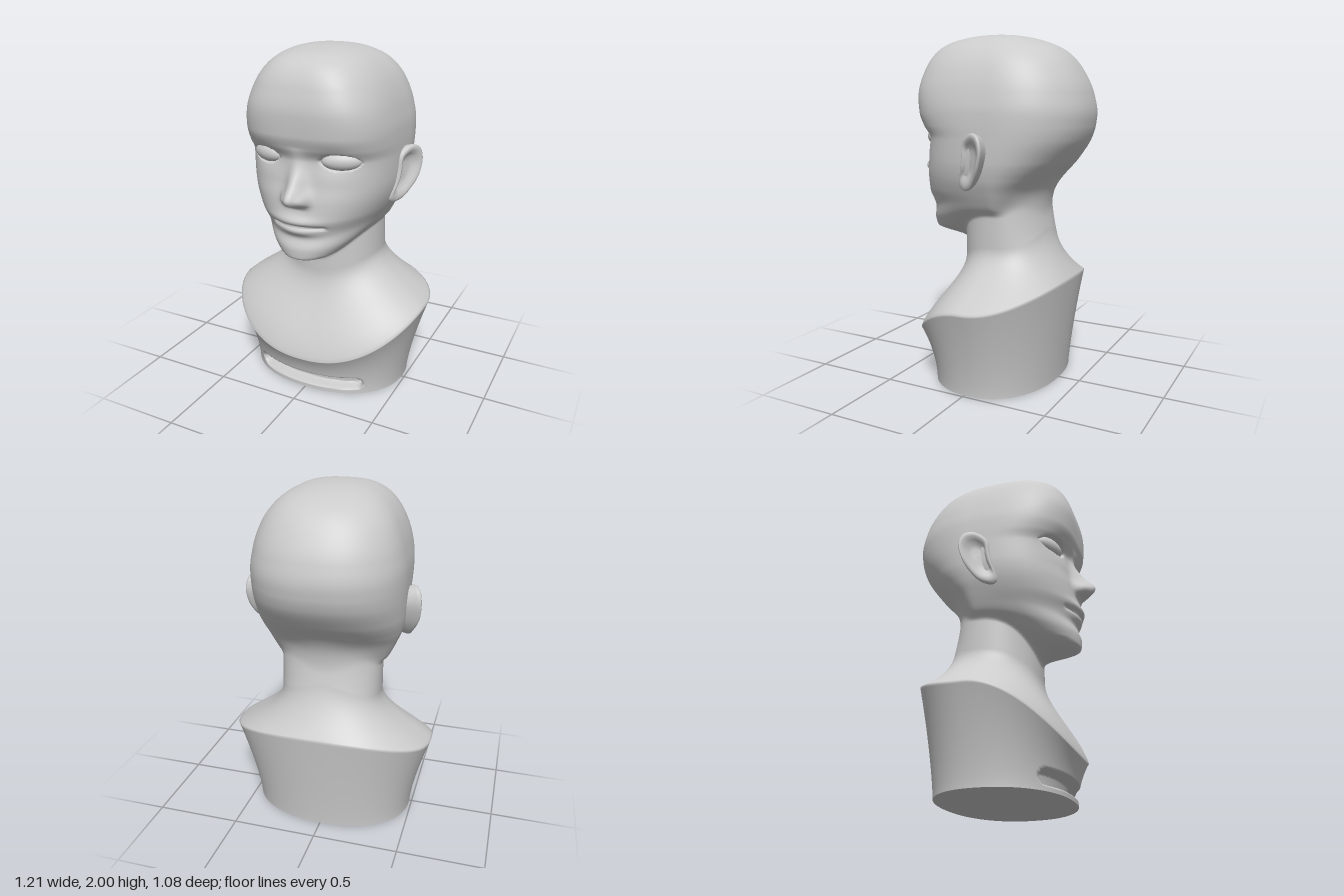
import * as THREE from 'three';

const COLS = 180;
const material = new THREE.MeshStandardMaterial({ color: 0xcccccc });
const thin = new THREE.MeshStandardMaterial({ color: 0xcccccc, side: THREE.DoubleSide });

const { lerp, smoothstep } = THREE.MathUtils;
const gauss = (d, s) => Math.exp(-(d * d) / (s * s));
const smoothMax = (a, b, k) => Math.max(a, b) + Math.max(k - Math.abs(a - b), 0) ** 2 / (4 * k);
// value chosen by direction: front / side / back
const byAngle = (t, front, side, back) =>
  lerp(side, Math.cos(t) > 0 ? front : back, Math.cos(t) ** 2);

// smooth monotone curve through the given keys
function curve(xs, ys) {
  const slope = xs.slice(1).map((x, i) => (ys[i + 1] - ys[i]) / (x - xs[i]));
  const tan = xs.map((_, i) => {
    if (i === 0) return slope[0];
    if (i === xs.length - 1) return slope[i - 1];
    const a = slope[i - 1], b = slope[i];
    return a * b <= 0 ? 0 : (2 * a * b) / (a + b);
  });
  return (x) => {
    if (x <= xs[0]) return ys[0];
    if (x >= xs[xs.length - 1]) return ys[ys.length - 1];
    let i = 0;
    while (x > xs[i + 1]) i++;
    const h = xs[i + 1] - xs[i], t = (x - xs[i]) / h, u = 1 - t;
    return ys[i] * (1 + 2 * t) * u * u + tan[i] * h * t * u * u
      + ys[i + 1] * t * t * (3 - 2 * t) - tan[i + 1] * h * t * t * u;
  };
}

// head sections: height, front z, back z, half width, centre z, front squareness
const sections = [
  [2.00, 0.03, 0.03, 0, 0.03, 2.3],
  [1.99, 0.16, -0.12, 0.13, 0.02, 2.5],
  [1.96, 0.295, -0.25, 0.22, -0.01, 2.7],
  [1.90, 0.38, -0.375, 0.302, -0.06, 3.0],
  [1.80, 0.43, -0.46, 0.37, -0.1, 3.25],
  [1.67, 0.455, -0.52, 0.414, -0.11, 3.4],
  [1.56, 0.449, -0.54, 0.432, -0.11, 3.2],
  [1.49, 0.428, -0.532, 0.434, -0.105, 3.0],
  [1.42, 0.40, -0.51, 0.433, -0.1, 2.75],
  [1.30, 0.41, -0.43, 0.427, -0.09, 2.65],
  [1.20, 0.43, -0.34, 0.41, -0.08, 2.5],
  [1.10, 0.438, -0.265, 0.385, -0.08, 2.35],
  [1.00, 0.415, -0.21, 0.355, -0.08, 2.2],
  [0.92, 0.438, -0.17, 0.32, -0.08, 2.1],
  [0.87, 0.435, -0.15, 0.265, -0.08, 2.1],
  [0.85, 0.39, -0.14, 0.225, -0.08, 2.1],
  [0.83, 0.30, -0.14, 0.175, -0.08, 2.1],
  [0.81, 0.21, -0.14, 0.13, -0.08, 2.1],
  [0.77, 0.08, -0.14, 0.08, -0.08, 2.1],
];
// the square-root key keeps the crown round
const keys = sections.map((s) => Math.sqrt(2 - s[0]));
const [front, back, width, centre, square] =
  [1, 2, 3, 4, 5].map((k) => curve(keys, sections.map((s) => s[k])));
const noseHeight = curve([1.165, 1.185, 1.2, 1.235, 1.31, 1.4, 1.5], [0, 0.035, 0.09, 0.118, 0.07, 0.025, 0]);
const neckBack = curve([0.75, 0.9, 1.02, 1.2], [0.26, 0.212, 0.19, 0.18]);

function superRadius(t, w, d, n) {
  const s = Math.abs(Math.sin(t)) / Math.max(w, 1e-4), c = Math.abs(Math.cos(t)) / Math.max(d, 1e-4);
  return (s ** n + c ** n) ** (-1 / n);
}

// nose, eye sockets and lips as forward offsets of the face
function faceOffset(x, y) {
  const ax = Math.abs(x);
  let z = noseHeight(y) * gauss(x, lerp(0.055, 0.048, smoothstep(y, 1.22, 1.4)));
  z += 0.028 * gauss(ax - 0.058, 0.024) * gauss(y - 1.22, 0.032);
  z -= 0.018 * gauss(ax - 0.2, 0.1) * gauss(y - 1.43, 0.06);
  const lid = 1 - Math.abs((ax - 0.222) / 0.102) ** 2.6 - Math.abs((y - 1.428) / 0.046) ** 1.4;
  z -= 0.03 * smoothstep(lid, 0, 0.2);
  z += 0.024 * gauss(y - 1.09, 0.032) * gauss(x, 0.13);
  z += 0.026 * gauss(y - 1.03, 0.026) * gauss(x, 0.11);
  z -= 0.02 * gauss(y - 1.062, 0.009) * (1 - smoothstep(ax, 0.14, 0.175));
  return z;
}

// head blended with neck at one direction and height
function headPoint(t, y) {
  const facing = Math.cos(t) > 0;
  // the jaw line rises towards the ears
  const rise = 0.17 * Math.sin(t) ** 2 * (1 - smoothstep(y, 0.9, 1.25));
  const q = Math.sqrt(Math.max(2 - y + rise, 0)), c = centre(q);
  const head = facing ? superRadius(t, width(q), front(q) - c, square(q))
    : superRadius(t, width(q), c - back(q), 2.25);
  const fade = 1 - smoothstep(y, 1.2, 1.6);
  const neck = fade * superRadius(t, 0.297, facing ? 0.28 : neckBack(y), 2.2);
  const r = q < 1e-6 ? 0 : fade > 0 ? smoothMax(head, neck, 0.09) : head;
  const x = r * Math.sin(t), z = c + r * Math.cos(t);
  return [x, y, z + faceOffset(x, y) * smoothstep(Math.cos(t), 0.2, 0.45)];
}

const neckBase = (t) => byAngle(t, 0.70, 0.80, 0.90);
// oval rim, low in front and high behind
function rimPoint(t) {
  const depth = Math.cos(t) > 0 ? 0.46 : 0.40, r = superRadius(t, 0.605, depth, 2.3);
  const z = r * Math.cos(t), end = z > 0 ? 0.225 : 0.614;
  return [r * Math.sin(t), lerp(0.505, end, (z / depth) ** 2), z - 0.04];
}

// pedestal wall below the rim, with the long rounded slot in front
function wallPoint(t, v) {
  const c = rimPoint(t), f = v ** byAngle(t, 2.3, 1.4, 1.2);
  const r = superRadius(t, 0.485, Math.cos(t) > 0 ? 0.38 : 0.35, 2.2);
  const x = lerp(r * Math.sin(t), c[0], f), y = c[1] * v;
  let z = lerp(r * Math.cos(t) - 0.02, c[2], f);
  if (z > 0.1) {
    const d = Math.hypot(Math.max(Math.abs(x) - 0.295, 0), y - 0.07);
    z -= 0.065 * (1 - smoothstep(d, 0.026, 0.044));
  }
  return [x, y, z];
}

// sweep from the rim over the shoulder and up to the neck
function shoulderPoint(t, s) {
  const a = headPoint(t, neckBase(t)), c = rimPoint(t);
  const at = (f, y) => new THREE.Vector3(lerp(a[0], c[0], f), y, lerp(a[2], c[2], f));
  return new THREE.CubicBezierCurve3(
    at(1, c[1]),
    at(0.76, byAngle(t, 0.40, 0.575, 0.67)),
    at(byAngle(t, 0, 0.03, 0.13), byAngle(t, 0.56, 0.68, 0.78)),
    at(0, a[1]),
  ).getPoint(s).toArray();
}

// closed rings of points, listed bottom to top, joined into a skin
function loft(rows, cols, point) {
  const pos = [], idx = [];
  for (let i = 0; i <= rows; i++) {
    for (let j = 0; j < cols; j++) {
      pos.push(...point(i, (j / cols) * Math.PI * 2));
      if (i === rows) continue;
      const a = i * cols + j, b = i * cols + ((j + 1) % cols);
      idx.push(a, b, a + cols, b, b + cols, a + cols);
    }
  }
  const g = new THREE.BufferGeometry();
  g.setAttribute('position', new THREE.Float32BufferAttribute(pos, 3));
  g.setIndex(idx);
  g.computeVertexNormals();
  return g;
}

export function createModel() {
  const group = new THREE.Group();
  const add = (name, geometry, mat = material) => {
    const mesh = new THREE.Mesh(geometry, mat);
    mesh.name = name;
    group.add(mesh);
    return mesh;
  };
  // columns gather towards the face
  const warp = (p) => p - 0.35 * Math.sin(p);

  // head, neck, shoulders and pedestal in one skin
  const WALL = 44, SHOULDER = 24, HEAD = 240;
  add('bust', loft(WALL + SHOULDER + HEAD, COLS, (i, p) => {
    const t = warp(p);
    if (i <= WALL) return wallPoint(t, i / WALL);
    if (i <= WALL + SHOULDER) return shoulderPoint(t, (i - WALL) / SHOULDER);
    const q = Math.sqrt(2 - neckBase(t)) * (1 - (i - WALL - SHOULDER) / HEAD);
    return headPoint(t, 2 - q * q);
  }));

  // flat underside
  add('base', loft(1, COLS, (i, p) => {
    const [x, , z] = wallPoint(warp(p), 0);
    return [x * i, 0, z * i];
  }));

  // ear outline in (z, y), and rings of [scale, outward offset] from the hollow over the rim to the back
  const outline = new THREE.CatmullRomCurve3([
    [-0.05, 1.462], [-0.10, 1.445], [-0.125, 1.38], [-0.108, 1.29], [-0.075, 1.22], [-0.02, 1.158],
    [0.04, 1.145], [0.07, 1.17], [0.05, 1.25], [0.035, 1.33], [0.02, 1.42],
  ].map(([z, y]) => new THREE.Vector3(0, y, z)), true);
  const rings = [[0, -0.03], [0.3, -0.03], [0.5, -0.026], [0.65, -0.008], [0.78, 0.004], [0.9, 0.006],
    [0.98, 0], [1, -0.01], [0.98, -0.025], [0.93, -0.05], [0.86, -0.1]];
  const ear = loft(rings.length - 1, 48, (i, p) => {
    const o = outline.getPoint(p / (Math.PI * 2)), [k, dx] = rings[rings.length - 1 - i];
    const z = lerp(-0.03, o.z, k), y = lerp(1.32, o.y, k);
    return [0.42 + 0.5 * (0.06 - z) + dx - 0.02 * (1 - smoothstep(y, 1.14, 1.3)), y, z];
  });

  for (const [side, s] of [['left', 1], ['right', -1]]) {
    add(side + 'Ear', ear, thin).scale.x = s;
    // eyeball behind the lids
    const eye = add(side + 'Eye', new THREE.SphereGeometry(1, 32, 20));
    eye.scale.set(0.11, 0.052, 0.05);
    eye.position.set(s * 0.22, 1.428, 0.322);
    eye.rotation.y = s * 0.38;
  }
  return group;
}
